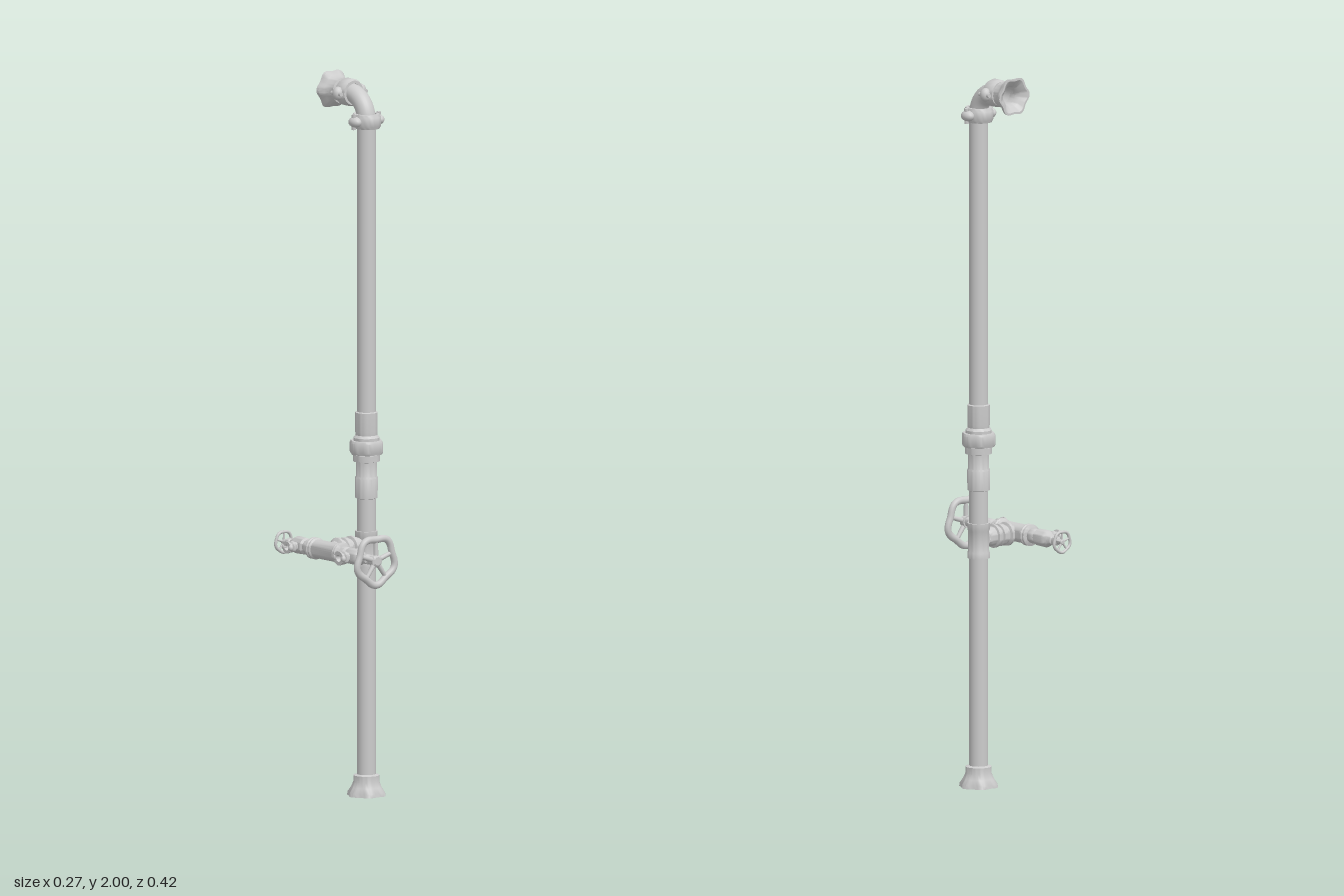
import * as THREE from 'three';
import { toCreasedNormals } from 'three/addons/utils/BufferGeometryUtils.js';

const PX = 0.075, PZ = -0.01;      // riser axis
const VX = -0.059, VY = 0.695;     // valve axis
const material = new THREE.MeshStandardMaterial({ color: 0xcccccc, side: THREE.DoubleSide });

function add(parent, name, geometry, x = 0, y = 0, z = 0) {
  const mesh = new THREE.Mesh(geometry, material);
  mesh.name = name;
  mesh.position.set(x, y, z);
  parent.add(mesh);
  return mesh;
}

// Turned part from [radius, height] pairs, optionally with a lobed outline
function turned(profile, lobe = null, sides = 32) {
  const g = new THREE.LatheGeometry(profile.map(([r, h]) => new THREE.Vector2(r, h)), sides);
  if (lobe) {
    const p = g.attributes.position;
    for (let i = 0; i < p.count; i++) {
      const x = p.getX(i), z = p.getZ(i), s = lobe(Math.atan2(z, x), p.getY(i));
      p.setX(i, x * s);
      p.setZ(i, z * s);
    }
  }
  return toCreasedNormals(g, 0.6);
}

// Hollow flared wall flange, mouth at h = 0
function flare(depth) {
  return turned(
    [[0.026, depth], [0.024, depth * 0.5], [0.03, depth * 0.25], [0.046, 0], [0.052, 0], [0.051, depth * 0.16],
      [0.042, depth * 0.4], [0.036, depth * 0.65], [0.036, depth * 0.95], [0.026, depth]],
    (a, h) => 1 + 0.07 * (1 - h / depth) * Math.cos(6 * a), 48);
}

// Pipe collar with two bolt lugs along x
function clamp(parent, name) {
  const g = new THREE.Group();
  g.name = name;
  add(g, 'clampRing', turned([[0.026, -0.02], [0.034, -0.02], [0.038, -0.012], [0.038, 0.012], [0.034, 0.02], [0.026, 0.02]]));
  for (const s of [-1, 1]) {
    const lug = add(g, 'clampLug', new THREE.SphereGeometry(0.016, 16, 10), s * 0.04);
    lug.scale.set(1, 0.95, 1.2);
    add(g, 'clampBolt', new THREE.CylinderGeometry(0.006, 0.006, 0.042, 6), s * 0.044);
  }
  parent.add(g);
  return g;
}

// Handwheel facing +z with a wavy rim, spokes and hub
function handwheel(name, radius, thick, lobes, wave) {
  const g = new THREE.Group();
  g.name = name;
  const phase = -Math.PI / 2, tube = radius * 0.13, pts = [];
  for (let i = 0; i < lobes * 8; i++) {
    const a = i / (lobes * 8) * Math.PI * 2;
    const r = radius * (0.87 - wave + wave * Math.cos(lobes * (a - phase)));
    pts.push(new THREE.Vector3(r * Math.cos(a), r * Math.sin(a), 0));
  }
  const rim = add(g, 'wheelRim', new THREE.TubeGeometry(new THREE.CatmullRomCurve3(pts, true), 100, tube, 10, true));
  rim.scale.z = thick / (2 * tube);
  for (let i = 0; i < lobes; i++) {
    const a = phase + (i + 0.5) / lobes * Math.PI * 2, r = radius * (0.87 - 2 * wave);
    const spoke = add(g, 'wheelSpoke', new THREE.CylinderGeometry(radius * 0.075, radius * 0.1, r, 10),
      Math.cos(a) * r / 2, Math.sin(a) * r / 2);
    spoke.rotation.z = a - Math.PI / 2;
  }
  const hub = turned([[0, -thick / 2], [radius * 0.22, -thick / 2], [radius * 0.22, thick * 0.3],
    [radius * 0.15, thick / 2], [0, thick / 2]]);
  add(g, 'wheelHub', hub.rotateX(Math.PI / 2));
  return g;
}

// Hose outlet pointing to -x, with two coupling claws
function hoseOutlet(r) {
  const g = new THREE.Group();
  g.name = 'hoseOutlet';
  add(g, 'outletNeck', turned([[0.012, 0], [0.012, 0.026], [r * 0.8, 0.03], [r * 0.8, 0.038], [r * 0.62, 0.041],
    [r * 0.62, 0.048], [r * 0.9, 0.05], [r * 0.9, 0.054], [r * 0.45, 0.054], [r * 0.4, 0.04], [0, 0.04]])
    .rotateZ(Math.PI / 2));
  for (const s of [-1, 1]) {
    const claw = add(g, 'outletClaw', new THREE.SphereGeometry(0.008, 12, 8), -0.05, 0, s * (r - 0.005));
    claw.scale.set(0.9, 1.1, 0.9);
  }
  return g;
}

export function createModel() {
  const model = new THREE.Group();
  model.name = 'standpipe';

  // Riser with base, couplings and tee
  const riser = new THREE.Group();
  riser.name = 'riser';
  riser.position.set(PX, 0, PZ);
  model.add(riser);
  add(riser, 'mainPipe', new THREE.CylinderGeometry(0.026, 0.026, 1.86, 32, 1, true), 0, 0.95);
  add(riser, 'baseFlange', flare(0.06));
  add(riser, 'teeSleeve', turned([[0.026, 0.64], [0.031, 0.64], [0.031, 0.655], [0.029, 0.66], [0.029, 0.715],
    [0.031, 0.72], [0.031, 0.738], [0.026, 0.738]]));
  add(riser, 'lowerCoupling', turned([[0.026, 0.828], [0.031, 0.83], [0.032, 0.885], [0.029, 0.89], [0.029, 0.93],
    [0.037, 0.932], [0.037, 0.95], [0.03, 0.952]]));
  add(riser, 'unionNut', turned([[0.03, 0.952], [0.043, 0.952], [0.046, 0.958], [0.046, 0.984], [0.043, 0.99], [0.03, 0.99]],
    a => 1 + 0.04 * Math.cos(6 * a), 36));
  add(riser, 'upperCoupling', turned([[0.036, 0.99], [0.036, 0.998], [0.03, 1.005], [0.031, 1.015], [0.031, 1.068], [0.026, 1.07]]));

  // Elbow, its two clamps and the outlet flange
  const top = new THREE.Group();
  top.name = 'topElbow';
  riser.add(top);
  const path = new THREE.CurvePath();
  const bend = [];
  for (let i = 0; i <= 12; i++) {
    const a = i / 12 * Math.PI / 2;
    bend.push(new THREE.Vector3(0, 1.88 + 0.07 * Math.sin(a), -0.07 + 0.07 * Math.cos(a)));
  }
  bend.push(new THREE.Vector3(0, 1.95, -0.09), new THREE.Vector3(0, 1.95, -0.12));
  path.add(new THREE.CatmullRomCurve3(bend));
  add(top, 'elbowPipe', new THREE.TubeGeometry(path, 40, 0.026, 24));
  const lower = clamp(top, 'lowerClamp');
  lower.position.y = 1.88;
  lower.scale.z = 1.15;
  const upper = clamp(top, 'upperClamp');
  upper.position.set(0, 1.95, -0.075);
  upper.rotation.x = Math.PI / 2;
  add(top, 'outletFlange', flare(0.05).rotateX(Math.PI / 2), 0, 1.95, -0.15);

  // Branch from riser to the valve cross tube
  add(model, 'branch', turned([[0.024, 0.02], [0.027, 0.03], [0.027, 0.045], [0.033, 0.047], [0.033, 0.055], [0.026, 0.058],
    [0.026, 0.066], [0.031, 0.068], [0.031, 0.08], [0.026, 0.083], [0.026, 0.091], [0.033, 0.094], [0.033, 0.102],
    [0.024, 0.108], [0.021, 0.13]]).rotateZ(Math.PI / 2), PX, VY, -0.013);

  // Cross tube with a flange at each end
  const valves = new THREE.Group();
  valves.name = 'valveAssembly';
  valves.position.set(VX, VY, 0);
  model.add(valves);
  add(valves, 'crossTube', turned([[0, -0.08], [0.025, -0.08], [0.03, -0.077], [0.03, -0.071], [0.027, -0.068],
    [0.03, -0.065], [0.03, -0.06], [0.026, -0.056], [0.026, 0.034], [0.029, 0.039], [0.027, 0.043], [0.031, 0.046],
    [0.031, 0.051], [0.026, 0.054], [0, 0.054]]).rotateX(Math.PI / 2));

  // Front valve with the large handwheel
  add(valves, 'frontValve', turned([[0.018, 0.05], [0.018, 0.055], [0.022, 0.058], [0.022, 0.072], [0.018, 0.078],
    [0.022, 0.084], [0.023, 0.125], [0.02, 0.132], [0.014, 0.137], [0.011, 0.145], [0.014, 0.15], [0.014, 0.164],
    [0.009, 0.168], [0.009, 0.172], [0.013, 0.175], [0.013, 0.19]]).rotateX(Math.PI / 2));
  const frontOutlet = hoseOutlet(0.022);
  frontOutlet.position.z = 0.1;
  const bigWheel = handwheel('largeHandwheel', 0.078, 0.019, 5, 0.055);
  bigWheel.position.z = 0.197;

  // Back valve with the small handwheel
  add(valves, 'backValve', turned([[0.019, 0.078], [0.021, 0.083], [0.021, 0.098], [0.018, 0.103], [0.023, 0.109],
    [0.024, 0.143], [0.021, 0.15], [0.016, 0.156], [0.013, 0.167], [0.009, 0.17], [0.013, 0.174], [0.013, 0.185],
    [0.008, 0.189], [0.007, 0.204]]).rotateX(-Math.PI / 2));
  const backOutlet = hoseOutlet(0.019);
  backOutlet.position.z = -0.127;
  const smallWheel = handwheel('smallHandwheel', 0.034, 0.009, 5, 0.03);
  smallWheel.rotation.y = Math.PI;
  smallWheel.position.z = -0.205;
  valves.add(frontOutlet, bigWheel, backOutlet, smallWheel);

  return model;
}
